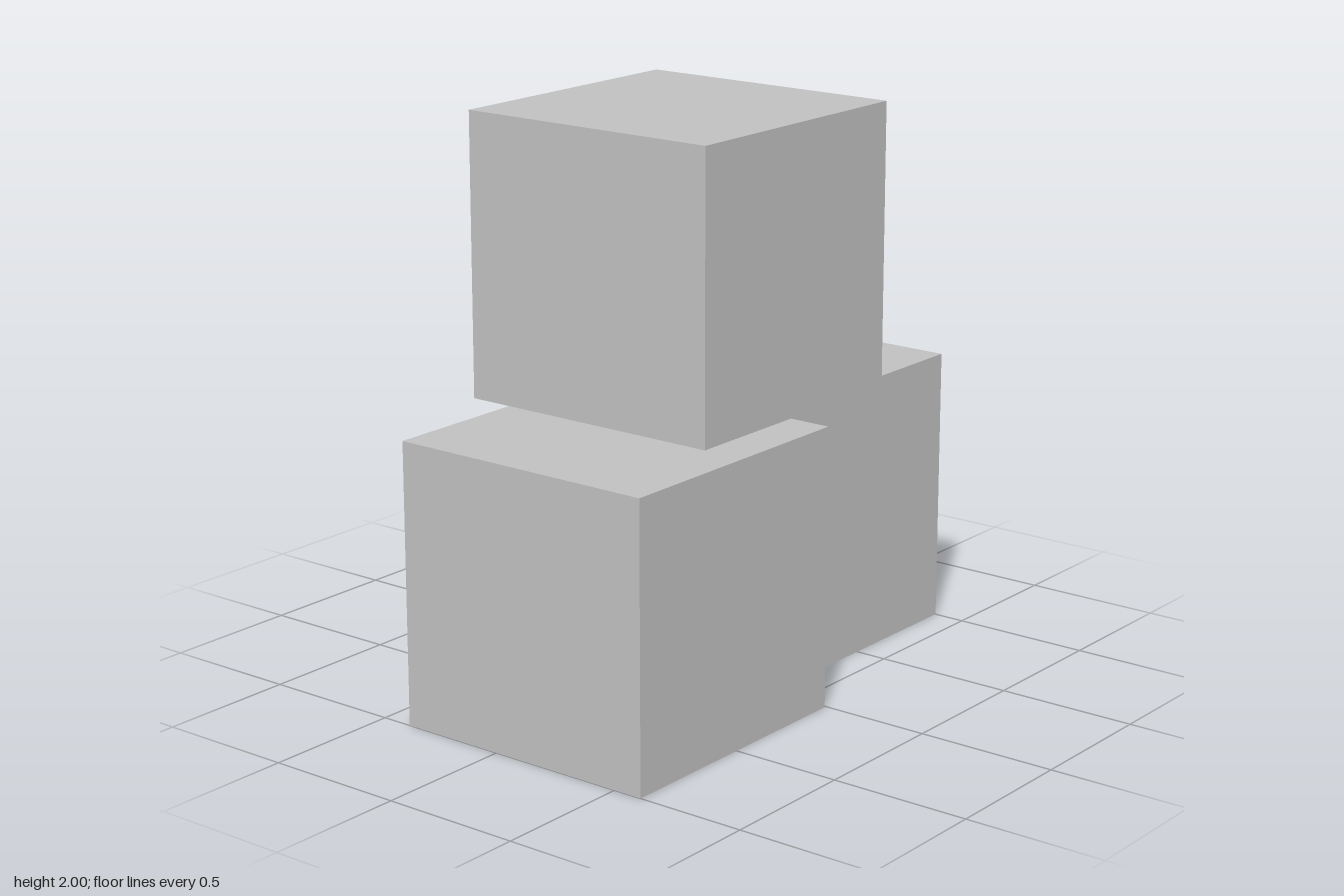
import * as THREE from 'three';

export function createModel() {
  const group = new THREE.Group();
  const grey = new THREE.MeshStandardMaterial({ color: 0xc0c0c0 });
  grey.name = 'light grey';

  // Three equal blocks: two staggered on the ground, one resting across them
  const size = 0.993;
  const half = size / 2;
  const geometry = new THREE.BoxGeometry(size, size, size);
  const blocks = [
    ['frontBlock', 0.11, half, 1 - half],
    ['backBlock', -0.112, half, half - 1],
    ['topBlock', -0.015, 2 - half, 0.015],
  ];
  for (const [name, x, y, z] of blocks) {
    const block = new THREE.Mesh(geometry, grey);
    block.name = name;
    block.position.set(x, y, z);
    group.add(block);
  }
  return group;
}
